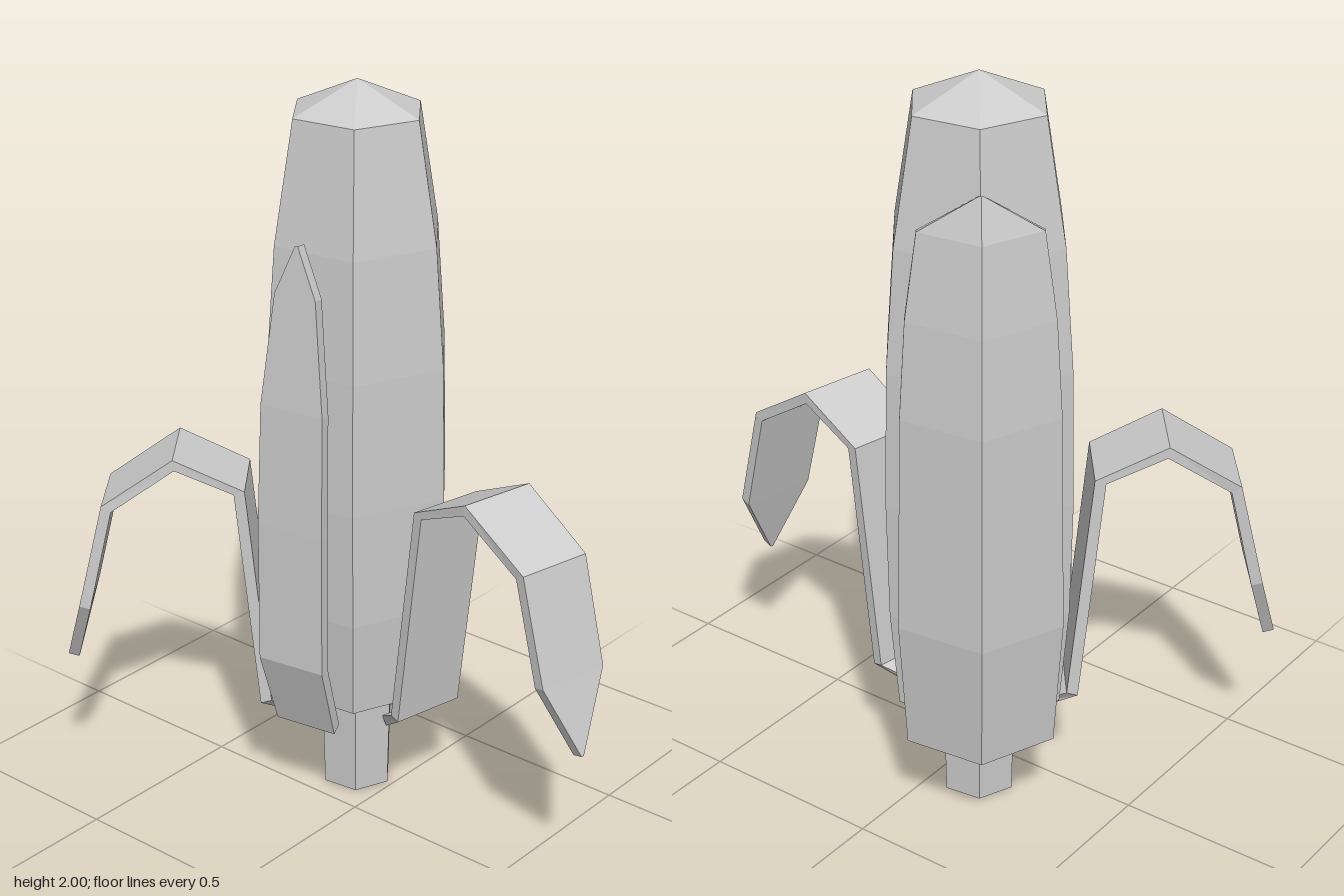
import * as THREE from 'three';

const material = new THREE.MeshStandardMaterial({ color: 0xcccccc, flatShading: true });
const THICK = 0.03;
const deg = THREE.MathUtils.degToRad;

// Six-sided turned part from a bottom-to-top [radius, y] profile
function turned(name, profile) {
  const points = profile.map(([r, y]) => new THREE.Vector2(r, y));
  const mesh = new THREE.Mesh(new THREE.LatheGeometry(points, 6, deg(7.5)), material);
  mesh.name = name;
  return mesh;
}

// Husk leaf swept through stations [out, y, halfWidth, side].
// fold pulls the two edges back so the leaf wraps a corner of the cob.
function leaf(name, angle, stations, fold = 0) {
  const positions = [], index = [];
  stations.forEach(([out, y, half, side], i) => {
    const a = stations[Math.max(i - 1, 0)];
    const b = stations[Math.min(i + 1, stations.length - 1)];
    const tangent = new THREE.Vector2(b[0] - a[0], b[1] - a[1]).normalize();
    const ring = [[-1, 1], [0, 1], [1, 1], [1, -1], [0, -1], [-1, -1]];
    for (const [across, face] of ring) {
      const t = face * THICK / 2;
      positions.push(
        side + across * half,
        y - tangent.x * t,
        out - Math.abs(across) * half * fold + tangent.y * t
      );
    }
    if (i === 0) return;
    for (let j = 0; j < 6; j++) {
      const p = (i - 1) * 6 + j, q = (i - 1) * 6 + (j + 1) % 6;
      index.push(p, q, q + 6, p, q + 6, p + 6);
    }
  });
  const geometry = new THREE.BufferGeometry();
  geometry.setAttribute('position', new THREE.Float32BufferAttribute(positions, 3));
  geometry.setIndex(index);
  geometry.computeVertexNormals();
  const mesh = new THREE.Mesh(geometry, material);
  mesh.name = name;
  mesh.rotation.y = Math.PI / 2 - deg(angle);
  return mesh;
}

export function createModel() {
  const model = new THREE.Group();
  model.name = 'cornCob';
  const plant = new THREE.Group();
  plant.name = 'plant';
  plant.position.set(0.14, 0, -0.11);
  model.add(plant);

  // Cob and stalk
  plant.add(turned('cob', [
    [0.09, 0.25], [0.238, 0.33], [0.262, 0.6], [0.268, 0.92],
    [0.26, 1.28], [0.235, 1.6], [0.18, 1.92], [0, 2]
  ]));
  plant.add(turned('stalk', [[0, 0], [0.1, 0.006], [0.106, 0.26]]));

  // Two leaves peeled open and drooping
  const drooping = [
    [0.1, 0.21, 0.004, 0.02], [0.242, 0.31, 0.105, 0.04], [0.317, 0.935, 0.105, 0.049],
    [0.494, 1.015, 0.108, 0.054], [0.68, 0.895, 0.105, 0.073],
    [0.75, 0.61, 0.103, 0.083], [0.805, 0.41, 0.004, 0.074]
  ];
  plant.add(leaf('frontDroopingLeaf', 101.5, drooping));
  plant.add(leaf('backDroopingLeaf', 231.7,
    drooping.map(([o, y, h, s]) => [o > 0.3 ? o * 0.955 : o, y, h, s])));

  // Narrow upright leaf
  plant.add(leaf('narrowUprightLeaf', 171, [
    [0.1, 0.2, 0.004, -0.02], [0.215, 0.27, 0.09, -0.025], [0.285, 0.48, 0.097, -0.025],
    [0.282, 0.87, 0.097, -0.025], [0.268, 1.2, 0.092, -0.025],
    [0.245, 1.5, 0.06, -0.025], [0.235, 1.63, 0.004, -0.025]
  ]));

  // Broad upright leaf folded round a corner of the cob
  plant.add(leaf('broadUprightLeaf', -38, [
    [0.1, 0.18, 0.004, 0], [0.295, 0.27, 0.187, 0], [0.33, 0.62, 0.206, 0],
    [0.318, 1.2, 0.195, 0], [0.295, 1.45, 0.18, 0],
    [0.262, 1.67, 0.15, 0], [0.222, 1.775, 0.004, 0]
  ], 0.6));

  return model;
}
